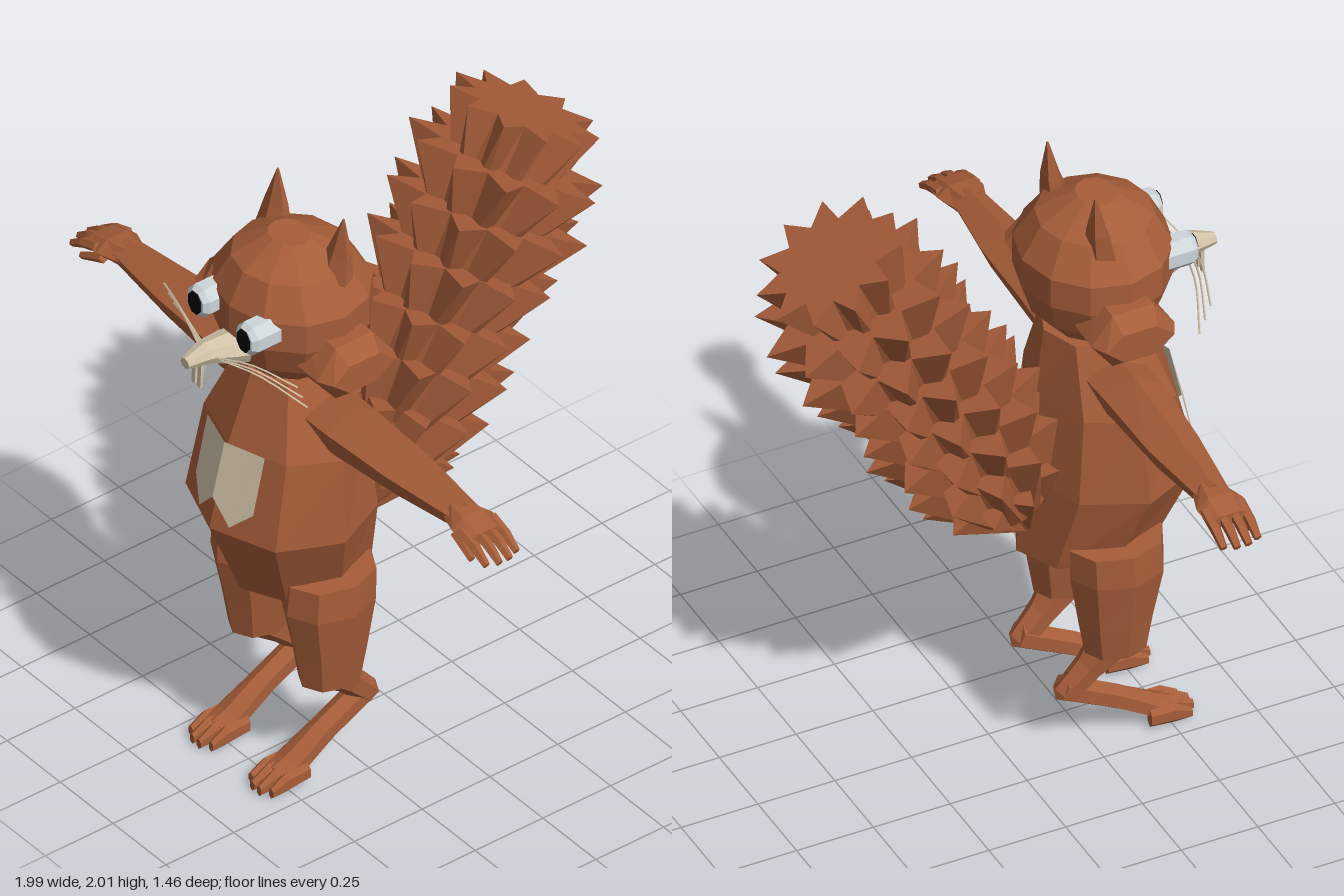
import * as THREE from 'three';

const paint = (name, color, side = THREE.FrontSide) => {
  const m = new THREE.MeshStandardMaterial({ color, flatShading: true, side });
  m.name = name;
  return m;
};

// Closed loft through rings [x, y, z, radiusA, radiusB], listed in order along dir.
// inset shortens every second corner of the last ring, which makes a star.
function loft(rings, n, dir = [0, 1, 0], phase = 0, inset = 1) {
  const q = new THREE.Quaternion().setFromUnitVectors(
    new THREE.Vector3(0, 1, 0), new THREE.Vector3(...dir).normalize());
  const pos = [], index = [];
  rings.forEach(([x, y, z, a, b], i) => {
    for (let j = 0; j < n; j++) {
      const t = phase + (j / n) * Math.PI * 2;
      const k = i === rings.length - 1 && j % 2 ? inset : 1;
      const p = new THREE.Vector3(Math.sin(t) * a * k, 0, Math.cos(t) * b * k).applyQuaternion(q);
      pos.push(p.x + x, p.y + y, p.z + z);
    }
  });
  const last = rings.length - 1, c0 = rings.length * n, c1 = c0 + 1;
  pos.push(...rings[0].slice(0, 3), ...rings[last].slice(0, 3));
  for (let j = 0; j < n; j++) {
    const k = (j + 1) % n;
    for (let i = 0; i < last; i++) {
      const a = i * n + j, b = i * n + k;
      index.push(a, b, b + n, a, b + n, a + n);
    }
    index.push(c0, k, j, c1, last * n + j, last * n + k);
  }
  const g = new THREE.BufferGeometry();
  g.setAttribute('position', new THREE.Float32BufferAttribute(pos, 3));
  g.setIndex(index);
  const flat = g.toNonIndexed();
  flat.computeVertexNormals();
  return flat;
}

export function createModel() {
  const fur = paint('brown fur', 0xa65d39);
  const cream = paint('cream', 0xd2c3a8, THREE.DoubleSide);
  const white = paint('eye white', 0xccd5d8);
  const black = paint('pupil black', 0x080808);

  const model = new THREE.Group();
  model.name = 'squirrel';
  const add = (name, geometry, material = fur) => {
    const m = new THREE.Mesh(geometry, material);
    m.name = name;
    model.add(m);
    return m;
  };

  // Body: height, half width, front z, back z
  const trunk = [
    [0.60, 0.10, 0.45, 0.20], [0.645, 0.19, 0.53, 0.09], [0.92, 0.30, 0.645, 0.11],
    [1.20, 0.275, 0.575, 0.15], [1.42, 0.165, 0.49, 0.18],
  ];
  add('body', loft(trunk.map(([y, w, f, b]) => [0, y, (f + b) / 2, w, (f - b) / 2]), 8));

  // Belly patch, laid just over the front facets of the body
  const patch = new THREE.PlaneGeometry(1, 1, 4, 1);
  const columns = [[-0.135, 1.02], [-0.07, 0.955], [0, 1.03], [0.07, 0.955], [0.135, 1.02]];
  columns.forEach(([x, low], i) => [1.21, low].forEach((y, row) => {
    const t = (y - 0.92) / 0.28;
    const front = 0.645 - 0.07 * t, rz = 0.267 - 0.055 * t, rx = 0.30 - 0.025 * t;
    const z = front - (Math.abs(x) / (rx * 0.707)) * rz * 0.293 + 0.016;
    patch.attributes.position.setXYZ(row * 5 + i, x, y, z);
  }));
  patch.computeVertexNormals();
  add('bellyPatch', patch, cream);

  // Head and snout
  add('head', loft([
    [0, 1.42, 0.34, 0.13, 0.13], [0, 1.50, 0.34, 0.21, 0.20], [0, 1.60, 0.34, 0.25, 0.232],
    [0, 1.70, 0.34, 0.25, 0.232], [0, 1.80, 0.345, 0.18, 0.175], [0, 1.867, 0.35, 0.07, 0.06],
  ], 12));
  add('snout', loft([
    [0, 1.54, 0.52, 0.065, 0.055], [0, 1.555, 0.58, 0.06, 0.05],
    [0, 1.575, 0.665, 0.04, 0.035], [0, 1.567, 0.735, 0.02, 0.018],
  ], 8, [0, 0, 1]), cream);

  for (const s of [1, -1]) {
    const side = s > 0 ? 'left' : 'right';
    const part = (name, rings, n, dir = [0, 1, 0], phase = 0, material = fur) =>
      add(side + name, loft(rings.map(([x, ...r]) => [x * s, ...r]), n,
        [dir[0] * s, dir[1], dir[2]], phase), material);

    // Face
    part('Cheek', [[0.14, 1.54, 0.33, 0.11, 0.13], [0.28, 1.54, 0.33, 0.105, 0.135],
      [0.33, 1.54, 0.33, 0.055, 0.11]], 6, [1, 0, 0]);
    part('Ear', [[0.145, 1.77, 0.295, 0.068, 0.045], [0.15, 1.85, 0.28, 0.048, 0.028],
      [0.155, 1.97, 0.27, 0.003, 0.003]], 5);
    part('Eye', [[0.115, 1.66, 0.49, 0.052, 0.055], [0.115, 1.66, 0.59, 0.052, 0.055],
      [0.115, 1.66, 0.607, 0.04, 0.042]], 8, [0, 0, 1], Math.PI / 8, white);
    part('Pupil', [[0.115, 1.66, 0.605, 0.031, 0.04], [0.115, 1.66, 0.611, 0.031, 0.04]],
      8, [0, 0, 1], Math.PI / 8, black);
    part('Tooth', [[0.013, 1.47, 0.69, 0.01, 0.006], [0.013, 1.56, 0.685, 0.013, 0.009]],
      4, [0, 1, 0], Math.PI / 4, cream);
    for (let i = 0; i < 3; i++) {
      const path = new THREE.CatmullRomCurve3([
        new THREE.Vector3(s * 0.03, 1.57 - i * 0.01, 0.655 - i * 0.012),
        new THREE.Vector3(s * 0.17, 1.605 - i * 0.025, 0.615 - i * 0.012),
        new THREE.Vector3(s * 0.315, 1.59 - i * 0.045, 0.565 - i * 0.018),
      ]);
      add(side + 'Whisker', new THREE.TubeGeometry(path, 6, 0.0035, 4), cream);
    }

    // Arm, hand and fingers
    const up = -s * Math.PI / 2;
    part('Arm', [[0.10, 1.295, 0.33, 0.088, 0.10], [0.27, 1.30, 0.335, 0.085, 0.098],
      [0.54, 1.30, 0.33, 0.066, 0.085], [0.80, 1.305, 0.33, 0.042, 0.052]], 5, [1, 0, 0], up);
    part('Hand', [[0.77, 1.305, 0.33, 0.04, 0.052], [0.84, 1.305, 0.33, 0.036, 0.075],
      [0.91, 1.295, 0.33, 0.022, 0.068]], 6, [1, 0, 0]);
    for (let i = 0; i < 4; i++) {
      const z = 0.275 + i * 0.037, d = i % 3 ? 0 : -0.015;
      part('Finger', [[0.87 + d, 1.308, z, 0.017, 0.018], [0.94 + d, 1.285, z, 0.017, 0.017],
        [0.992 + d, 1.252, z, 0.012, 0.012]], 5, [0.9, -0.44, 0]);
    }
    part('Thumb', [[0.83, 1.285, 0.385, 0.017, 0.018], [0.92, 1.245, 0.395, 0.012, 0.012]],
      5, [0.9, -0.4, 0]);

    // Leg, foot and toes
    part('Thigh', [[0.165, 0.335, 0.33, 0.083, 0.10], [0.165, 0.45, 0.33, 0.10, 0.12],
      [0.165, 0.62, 0.335, 0.125, 0.152], [0.17, 0.725, 0.33, 0.115, 0.15]], 8);
    part('Shin', [[0.145, 0.19, 0.175, 0.04, 0.04], [0.15, 0.27, 0.25, 0.048, 0.045],
      [0.16, 0.36, 0.33, 0.065, 0.075]], 6, [0, 0.75, 0.66]);
    part('Foot', [[0.142, 0.215, 0.165, 0.042, 0.042], [0.142, 0.13, 0.33, 0.042, 0.04],
      [0.142, 0.055, 0.46, 0.055, 0.035], [0.142, 0.04, 0.51, 0.058, 0.03]], 6, [0, -0.42, 0.9]);
    for (let i = 0; i < 4; i++) {
      const x = 0.142 + (i - 1.5) * 0.032, d = i % 3 ? 0 : -0.02;
      part('Toe', [[x, 0.042, 0.45 + d, 0.017, 0.03], [x, 0.038, 0.53 + d, 0.018, 0.034],
        [x, 0.022, 0.585 + d, 0.012, 0.018]], 6, [0, 0, 1]);
    }
  }

  // Tail: stacked star-topped cones, each [height, z, radius] of its star
  const axis = [0, 0.89, -0.45];
  const tiers = [
    [0.97, 0.00, 0.24], [1.10, -0.06, 0.28], [1.23, -0.13, 0.30], [1.35, -0.20, 0.29],
    [1.49, -0.29, 0.30], [1.62, -0.38, 0.315], [1.765, -0.45, 0.305], [1.91, -0.52, 0.235],
  ];
  tiers.forEach(([y, z, r], i) => {
    const drop = 0.27, low = i ? 0.13 : 0.03;
    add('tailTier', loft([
      [0, y - drop * 0.89, z + drop * 0.45, low, low],
      [0, y, z, r, r],
    ], 22, axis, Math.PI + (i % 2) * Math.PI / 11, 0.66));
  });

  return model;
}
